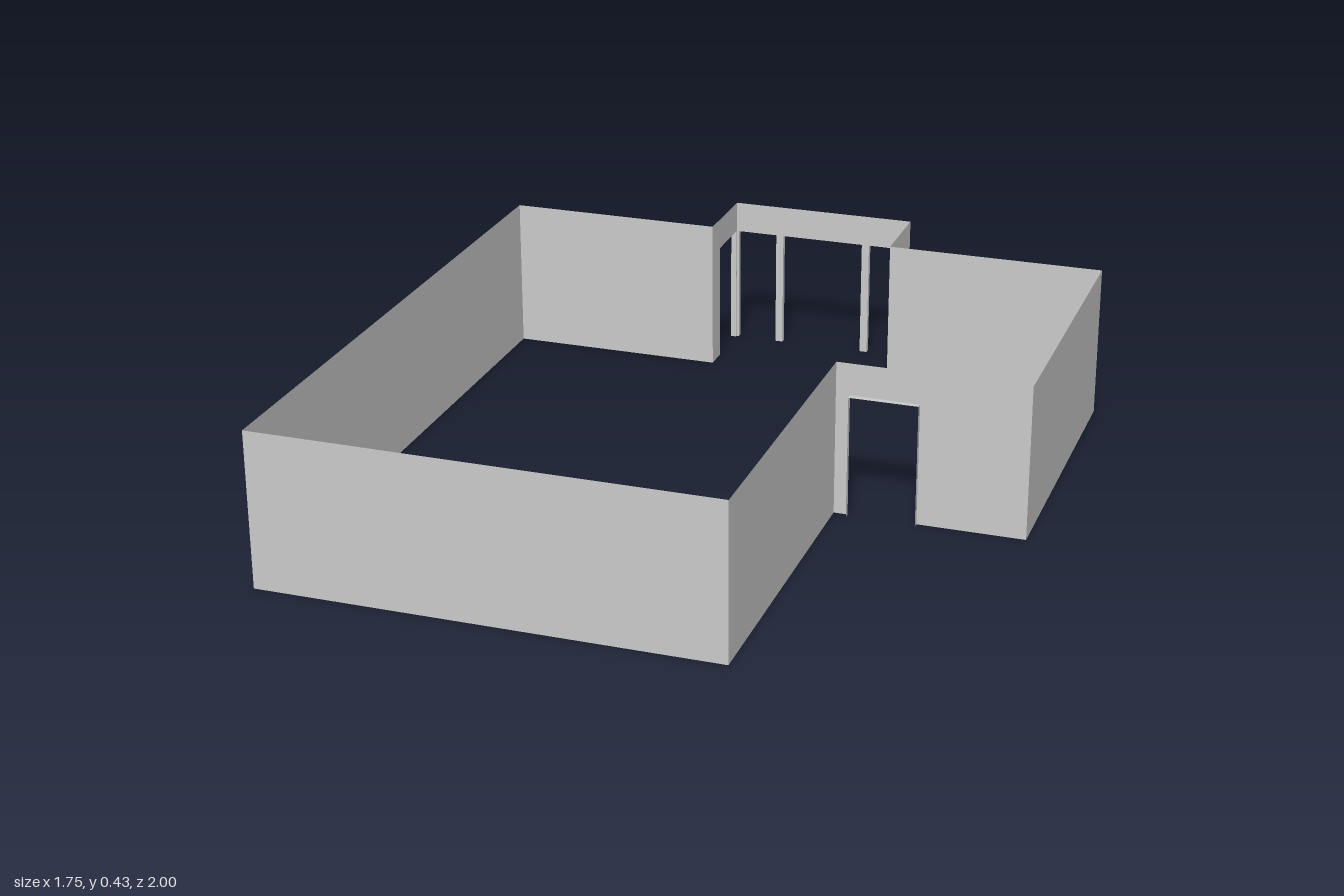
import * as THREE from 'three';

const HEIGHT = 0.428;
const DOOR_HEIGHT = 0.339;
const REVEAL = 0.016;

export function createModel() {
  const model = new THREE.Group();
  const material = new THREE.MeshStandardMaterial({ color: 0xcccccc, side: THREE.DoubleSide, flatShading: true });

  const add = (parent, name, geometry, x = 0, y = 0, z = 0) => {
    const mesh = new THREE.Mesh(geometry, material);
    mesh.name = name;
    mesh.position.set(x, y, z);
    parent.add(mesh);
    return mesh;
  };

  // Thin wall between two plan points; openings are [start, end] distances along it
  function wall(name, [x0, z0], [x1, z1], openings = []) {
    const length = Math.hypot(x1 - x0, z1 - z0);
    const group = new THREE.Group();
    group.name = name;
    group.position.set(x0, 0, z0);
    group.rotation.y = Math.atan2(z0 - z1, x1 - x0);
    model.add(group);

    const outline = new THREE.Shape().moveTo(0, 0);
    for (const [a, b] of openings) {
      outline.lineTo(a, 0).lineTo(a, DOOR_HEIGHT).lineTo(b, DOOR_HEIGHT).lineTo(b, 0);
    }
    outline.lineTo(length, 0).lineTo(length, HEIGHT).lineTo(0, HEIGHT);
    add(group, 'wallPanel', new THREE.ShapeGeometry(outline));

    // Reveal around each opening, standing out from the wall: two jambs and a head
    for (const [a, b] of openings) {
      for (const [x, turn] of [[a, 1], [b, -1]]) {
        const jamb = new THREE.PlaneGeometry(REVEAL, DOOR_HEIGHT).rotateY(turn * Math.PI / 2);
        add(group, 'openingJamb', jamb, x, DOOR_HEIGHT / 2, REVEAL / 2);
      }
      const head = new THREE.PlaneGeometry(b - a, REVEAL).rotateX(Math.PI / 2);
      add(group, 'openingHead', head, (a + b) / 2, DOOR_HEIGHT, REVEAL / 2);
    }
  }

  // Plan corners, anticlockwise from above
  const corners = [
    [-0.877, 1], [0.362, 1], [0.362, 0.123], [0.877, 0.123], [0.877, -0.757],
    [0.265, -0.757], [0.265, -0.984], [-0.27, -0.984], [-0.27, -0.757], [-0.877, -0.757],
  ];
  const walls = [
    ['frontWall'],
    ['stepWall'],
    ['doorWall', [[0.038, 0.224]]],
    ['leftWall'],
    ['backLeftWall'],
    ['bayLeftWall', [[0.068, 0.222]]],
    ['bayBackWall', [[0.007, 0.124], [0.146, 0.389], [0.411, 0.528]]],
    ['bayRightWall', [[0.005, 0.159]]],
    ['backRightWall'],
    ['rightWall'],
  ];
  walls.forEach(([name, openings], i) => wall(name, corners[i], corners[(i + 1) % corners.length], openings));

  return model;
}
